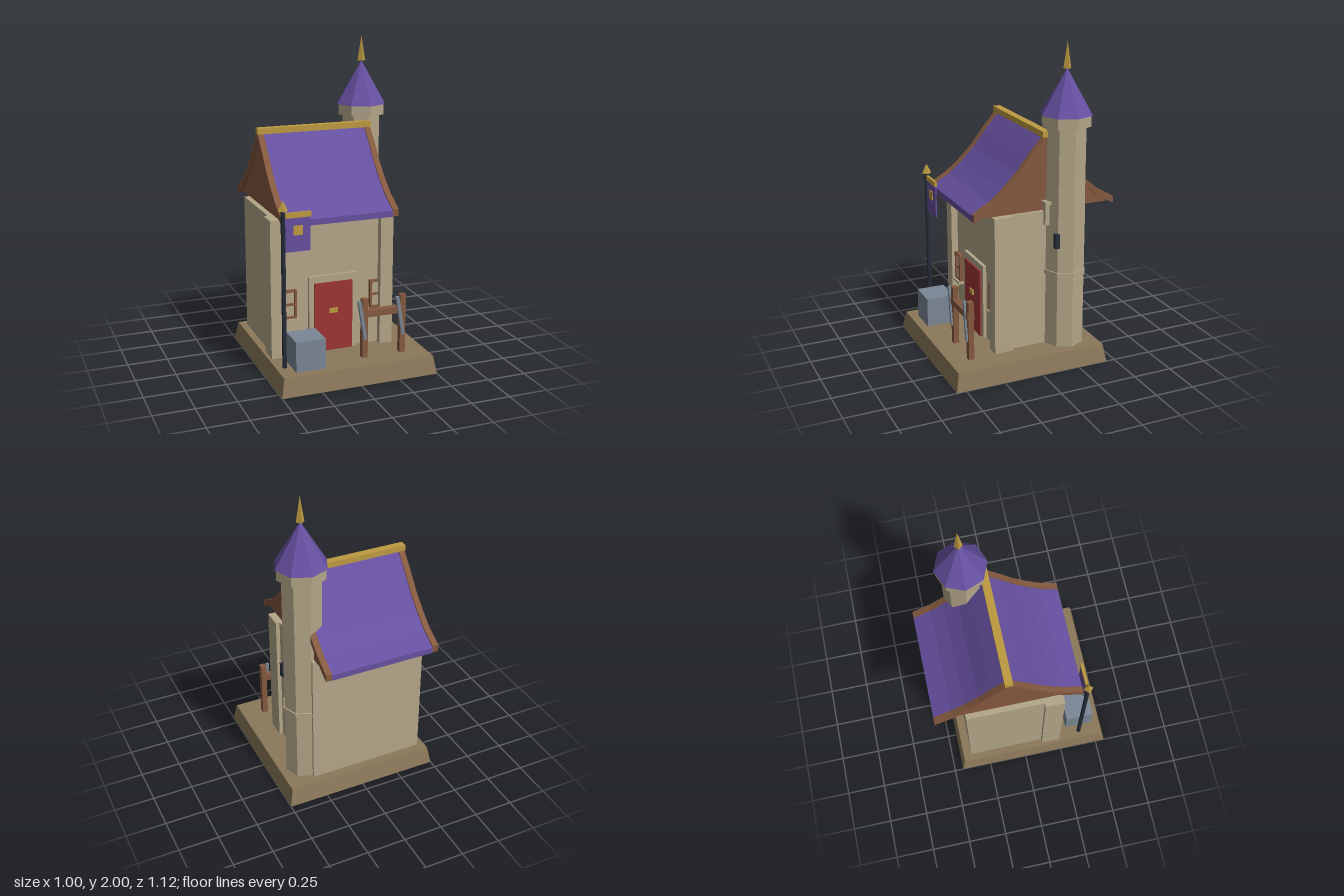
import * as THREE from 'three';

const mat = (name, color) => {
  const m = new THREE.MeshStandardMaterial({ color });
  m.name = name;
  return m;
};

export function createModel() {
  const stone = mat('stone', 0xb3a688);
  const earth = mat('earth', 0x8b785a);
  const purple = mat('roof purple', 0x6650a0);
  const wood = mat('wood', 0x84593f);
  const gold = mat('gold', 0xbd9a40);
  const red = mat('door red', 0x9c3634);
  const steel = mat('steel', 0x7a8795);
  const dark = mat('dark iron', 0x252d38);

  const model = new THREE.Group();
  model.name = 'towerHouse';
  const add = (name, geo, material) => {
    const mesh = new THREE.Mesh(geo, material);
    mesh.name = name;
    model.add(mesh);
    return mesh;
  };
  // box given by its limits on each axis
  const box = (name, material, x0, x1, y0, y1, z0, z1) => {
    const g = new THREE.BoxGeometry(x1 - x0, y1 - y0, z1 - z0);
    g.translate((x0 + x1) / 2, (y0 + y1) / 2, (z0 + z1) / 2);
    return add(name, g, material);
  };
  // faceted upright prism or cone with corners on the axes
  const prism = (name, material, rTop, rBottom, y0, y1, sides, x, z) => {
    const g = new THREE.CylinderGeometry(rTop, rBottom, y1 - y0, sides).toNonIndexed();
    g.computeVertexNormals();
    g.translate(x, (y0 + y1) / 2, z);
    return add(name, g, material);
  };

  // sloped plinth
  const plinth = new THREE.BoxGeometry(1, 0.115, 1.005);
  const p = plinth.attributes.position;
  for (let i = 0; i < p.count; i++) {
    if (p.getY(i) > 0) p.setXYZ(i, p.getX(i) * 0.958, p.getY(i), p.getZ(i) * 0.957);
  }
  plinth.computeVertexNormals();
  plinth.translate(0, 0.0575, 0.058);
  add('plinth', plinth, earth);

  // house walls with front corner piers
  const G = 0.115;
  box('houseWalls', stone, -0.435, 0.31, G, 0.985, -0.37, 0.2);
  box('rightPier', stone, -0.46, -0.378, G, 0.985, 0.12, 0.243);
  box('leftPier', stone, 0.252, 0.335, G, 0.985, 0.12, 0.243);

  // door in its surround
  box('doorFrame', stone, -0.21, 0.1, G, 0.6, 0.19, 0.222);
  box('door', red, -0.18, 0.07, G, 0.557, 0.2, 0.232);
  box('doorPlate', gold, -0.083, -0.029, 0.36, 0.39, 0.232, 0.24);

  // windows with bars and sills
  for (const cx of [-0.335, 0.238]) {
    box('windowPane', stone, cx - 0.045, cx + 0.045, 0.35, 0.53, 0.195, 0.21);
    for (const x of [cx - 0.039, cx + 0.039]) {
      box('windowPost', wood, x - 0.007, x + 0.007, 0.35, 0.532, 0.2, 0.224);
    }
    for (const y of [0.357, 0.44, 0.525]) {
      box('windowBar', wood, cx - 0.045, cx + 0.045, y - 0.007, y + 0.007, 0.2, 0.222);
    }
    box('windowSill', stone, cx - 0.056, cx + 0.056, 0.333, 0.35, 0.195, 0.235);
  }

  // curved roof: half profile as distance from ridge and height
  const half = [[0, 1.452], [0.1, 1.337], [0.18, 1.235], [0.267, 1.147], [0.35, 1.078], [0.463, 1.013]];
  const curve = (lift, floor = 0) => {
    const h = half.map(([d, y]) => new THREE.Vector2(d, Math.max(y + lift, floor)));
    return [...h.slice(1).reverse().map(v => new THREE.Vector2(-v.x, v.y)), ...h];
  };
  const roofPart = (name, material, points, x0, x1) => {
    const g = new THREE.ExtrudeGeometry(new THREE.Shape(points), { depth: x1 - x0, bevelEnabled: false });
    g.rotateY(Math.PI / 2);
    g.translate(x0, 0, -0.1);
    return add(name, g, material);
  };
  const band = (top, bottom) => [...curve(top), ...curve(bottom).reverse()];
  roofPart('roofSlopes', purple, band(-0.006, -0.043), -0.388, 0.276);
  roofPart('rightRake', wood, band(0.004, -0.04), -0.425, -0.387);
  roofPart('leftRake', wood, band(0.004, -0.04), 0.275, 0.313);
  // gable fill below the slopes, flat underneath
  const gable = curve(-0.035).filter(v => Math.abs(v.x) < 0.4);
  roofPart('gable', wood, [new THREE.Vector2(-0.43, 0.985), ...gable, new THREE.Vector2(0.43, 0.985)], -0.4, 0.288);
  box('ridgeCap', gold, -0.427, 0.315, 1.44, 1.476, -0.125, -0.077);

  // octagonal corner tower
  const tx = 0.31, tz = -0.23;
  prism('towerShaft', stone, 0.125, 0.125, G, 1.51, 8, tx, tz);
  prism('towerBand', stone, 0.134, 0.134, 0.58, 0.608, 8, tx, tz);
  prism('towerCollar', stone, 0.154, 0.154, 1.505, 1.57, 8, tx, tz);
  prism('towerRoof', purple, 0, 0.161, 1.57, 1.842, 8, tx, tz);
  prism('towerFinial', gold, 0, 0.026, 1.84, 2, 4, tx, tz);
  box('towerSlit', dark, 0.384, 0.414, 0.77, 0.86, -0.147, -0.119);
  box('towerBracket', stone, 0.3, 0.335, 0.9, 1.03, -0.13, -0.087);
  box('towerBracketCap', stone, 0.295, 0.348, 1.03, 1.05, -0.13, -0.08);

  // banner on its pole
  prism('bannerPole', dark, 0.014, 0.014, G, 1.085, 8, -0.427, 0.388);
  prism('poleFinial', gold, 0, 0.031, 1.08, 1.142, 4, -0.427, 0.388);
  box('bannerRod', gold, -0.415, -0.257, 1.035, 1.066, 0.38, 0.397);
  box('bannerCloth', purple, -0.415, -0.26, 0.83, 1.037, 0.384, 0.392);
  box('bannerPatch', gold, -0.366, -0.31, 0.93, 0.987, 0.392, 0.397);

  // storage block
  box('storageBlock', steel, -0.387, -0.202, G, 0.305, 0.305, 0.485);

  // rack with two leaning blades
  box('rackRail', wood, 0.055, 0.345, 0.375, 0.415, 0.38, 0.425);
  for (const x of [0.078, 0.327]) {
    box('rackPost', wood, x - 0.018, x + 0.018, G, 0.49, 0.385, 0.42);
    const blade = add('rackBlade', new THREE.BoxGeometry(0.02, 0.25, 0.022), steel);
    blade.position.set(x - 0.02, 0.358, 0.42);
    blade.rotation.z = 0.16;
  }
  return model;
}
